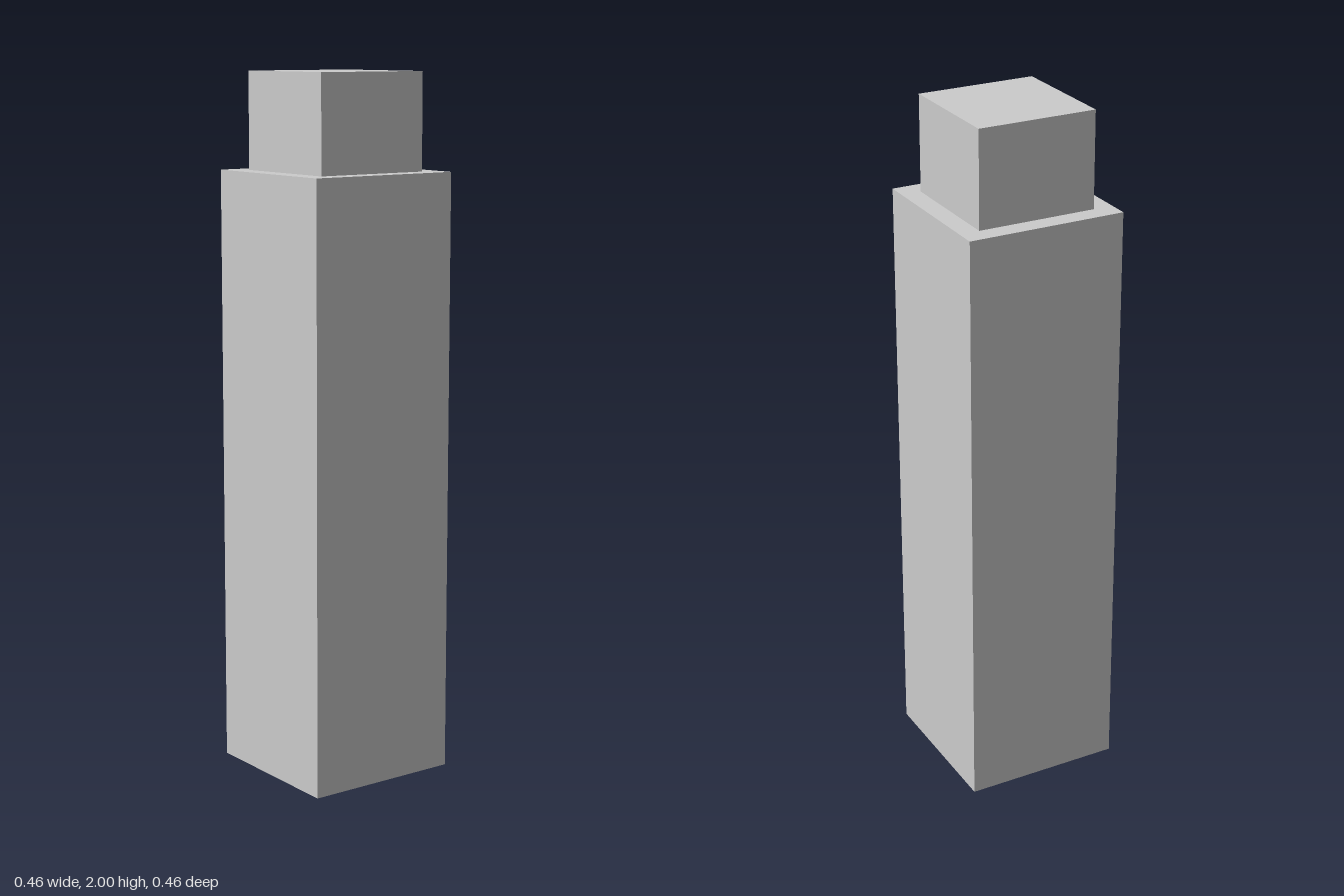
import * as THREE from 'three';

const BODY_WIDTH = 0.46;
const BODY_HEIGHT = 1.725;
const CAP_WIDTH = 0.345;
const TOTAL_HEIGHT = 2;

export function createModel() {
  const group = new THREE.Group();
  group.name = 'steppedPillar';
  const material = new THREE.MeshStandardMaterial({ color: 0xcccccc, flatShading: true });

  // Square block standing between two heights
  function addBlock(name, width, bottom, top) {
    const mesh = new THREE.Mesh(new THREE.BoxGeometry(width, top - bottom, width), material);
    mesh.name = name;
    mesh.position.y = (bottom + top) / 2;
    group.add(mesh);
  }

  // Tall body, with a narrower cap on top
  addBlock('body', BODY_WIDTH, 0, BODY_HEIGHT);
  addBlock('cap', CAP_WIDTH, BODY_HEIGHT, TOTAL_HEIGHT);

  return group;
}
